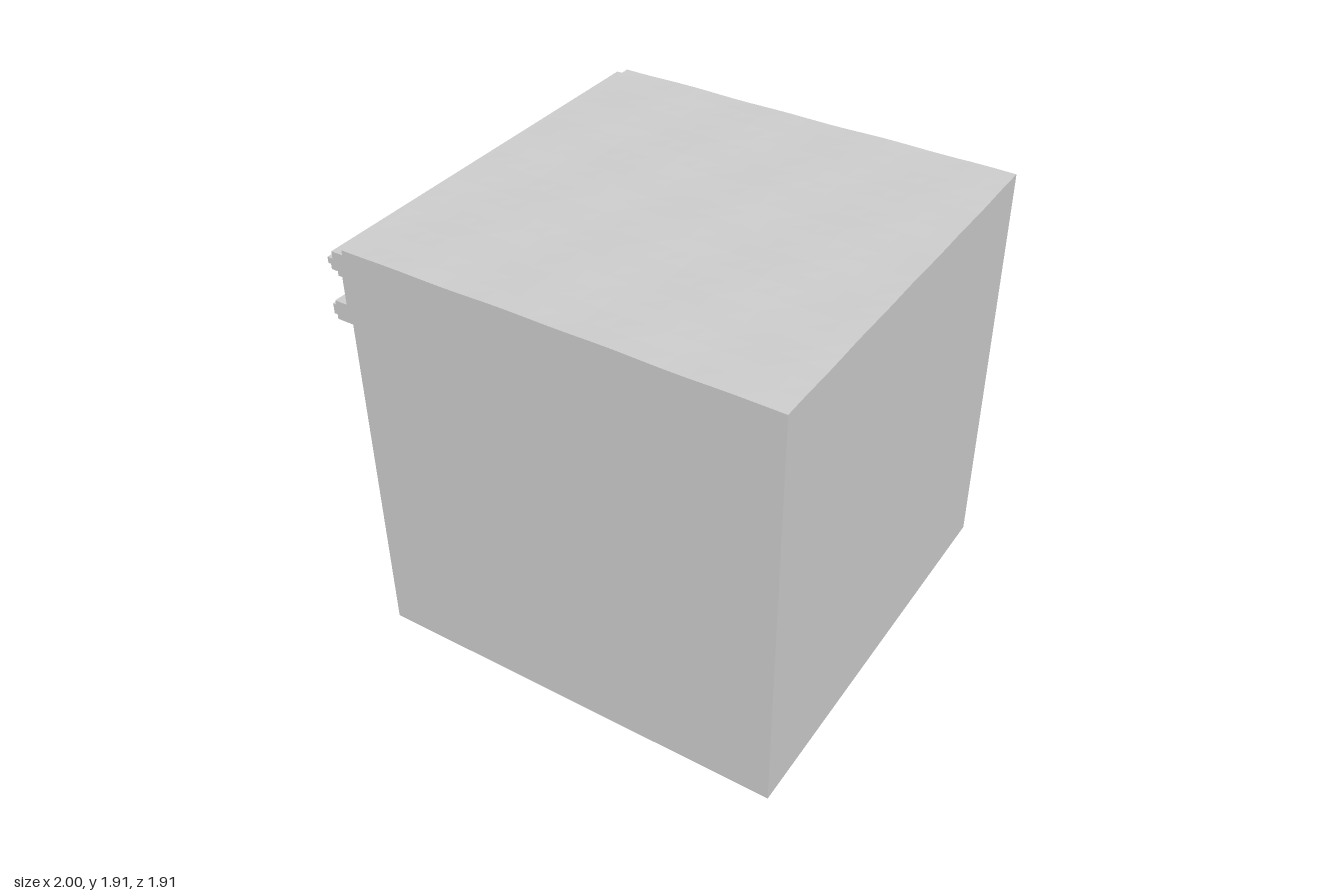
import * as THREE from 'three';

const material = new THREE.MeshStandardMaterial({ color: 0xcccccc, flatShading: true });
const HALF = 0.955, TOP = 1.908, WALL = -0.908;

// Extrudes an x-y profile along z, centred on the given z.
function moulding(name, points, length, z = 0) {
  const shape = new THREE.Shape(points.map(([x, y]) => new THREE.Vector2(x, y)));
  const geometry = new THREE.ExtrudeGeometry(shape, { depth: length, bevelEnabled: false });
  geometry.translate(0, 0, z - length / 2);
  const mesh = new THREE.Mesh(geometry, material);
  mesh.name = name;
  return mesh;
}

// Main block with a very slightly uneven roof.
function block() {
  const width = 1 - WALL;
  const geometry = new THREE.BoxGeometry(width, TOP, HALF * 2, 20, 1, 20);
  geometry.translate((1 + WALL) / 2, TOP / 2, 0);
  const p = geometry.attributes.position;
  for (let i = 0; i < p.count; i++) {
    if (p.getY(i) < 1) continue;
    const x = p.getX(i), z = p.getZ(i);
    p.setY(i, TOP + 0.0015 * (Math.sin(13 * x + 4 * z) + Math.sin(15 * z - 5 * x)));
  }
  geometry.computeVertexNormals();
  const mesh = new THREE.Mesh(geometry, material);
  mesh.name = 'buildingBlock';
  return mesh;
}

export function createModel() {
  const model = new THREE.Group();
  model.name = 'buildingWithCornice';
  model.add(block());

  // Cornice running along the -x wall: stepped crown, recessed frieze, stepped ledge.
  const cornice = new THREE.Group();
  cornice.name = 'cornice';
  cornice.add(moulding('corniceBand', [
    [WALL, 1.885], [-0.963, 1.885], [-0.963, 1.853], [-0.988, 1.853], [-0.988, 1.826],
    [-0.975, 1.826], [-0.975, 1.803], [-0.945, 1.803], [-0.945, 1.783],
    [-0.926, 1.783], [-0.926, 1.658], [-0.985, 1.658], [-0.985, 1.639],
    [-1, 1.639], [-1, 1.594], [-0.985, 1.594], [-0.985, 1.573], [WALL, 1.573],
  ], HALF * 2));

  // Three pairs of scrolled brackets standing in the frieze.
  const bracketProfile = [
    [-0.926, 1.803], [-0.972, 1.803], [-0.948, 1.787], [-0.965, 1.774], [-0.968, 1.762],
    [-0.957, 1.74], [-0.968, 1.712], [-0.96, 1.69], [-0.97, 1.658], [-0.926, 1.658],
  ];
  for (const bay of [-0.637, 0, 0.637]) {
    for (const side of [-1, 1]) {
      cornice.add(moulding('bracket', bracketProfile, 0.055, bay + side * 0.093));
    }
  }
  model.add(cornice);
  return model;
}
